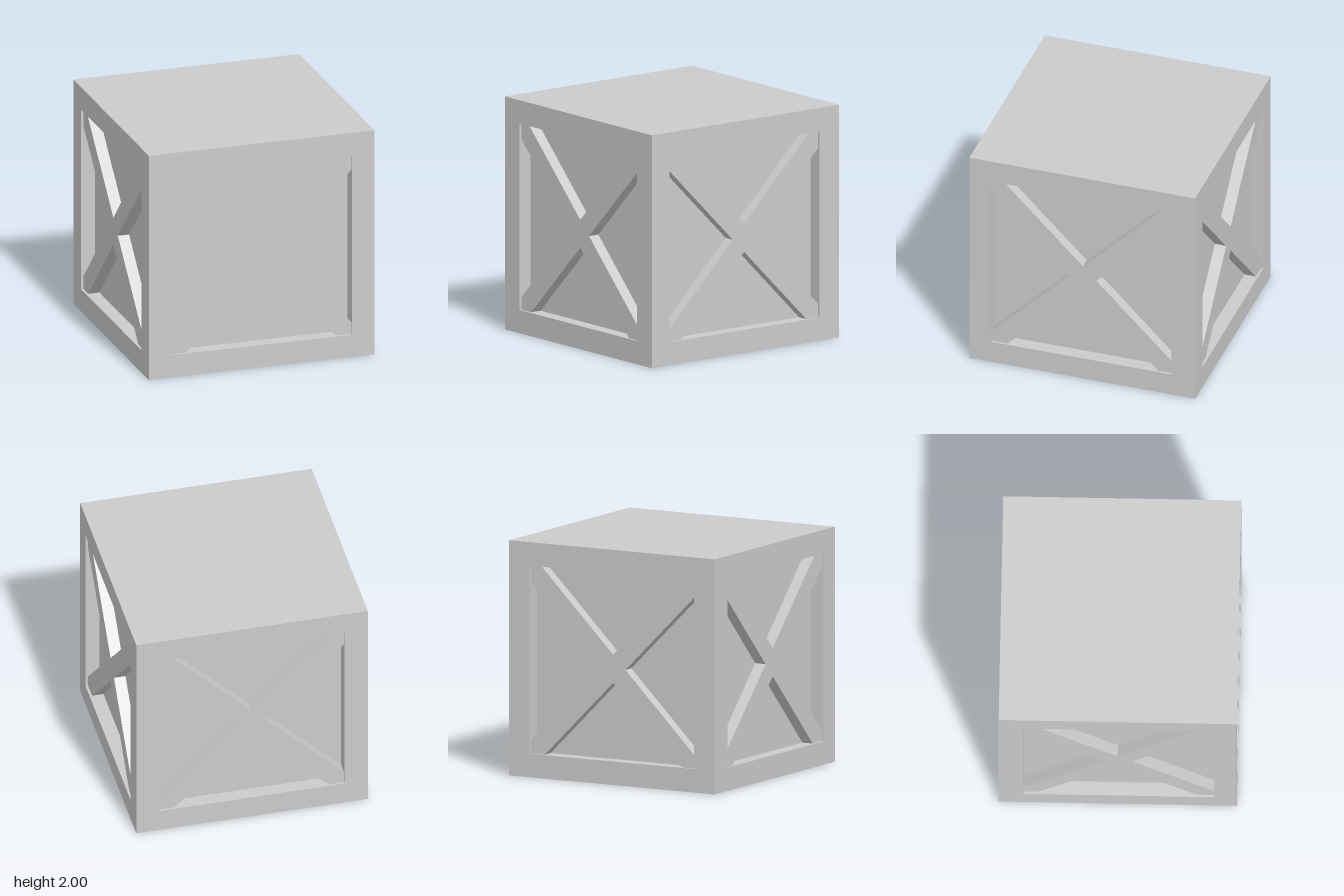
import * as THREE from 'three';

const DEPTH = 0.12;      // thickness of the outer shell
const OPEN = 0.8;        // half size of each side opening
const BAR = 0.12;        // half of a diagonal bar's width, measured along an axis
const RECESS = 0.02;     // bars sit this far behind the frame face
const BRACE_Y = -0.015;  // centre of the cross relative to the crate centre

const material = new THREE.MeshStandardMaterial({ color: 0xcccccc, flatShading: true });

function mesh(name, geometry) {
  const m = new THREE.Mesh(geometry, material);
  m.name = name;
  return m;
}

const polygon = (points) => points.map(([x, y]) => new THREE.Vector2(x, y));

// Pulls the inner rim of a 2 x 2 slab inwards so that the six sides meet in mitres.
function mitre(geometry) {
  const p = geometry.attributes.position;
  const k = 1 - DEPTH;
  for (let i = 0; i < p.count; i++) {
    if (p.getZ(i) > 1 - DEPTH / 2) continue;
    if (Math.abs(p.getX(i)) > 0.99) p.setX(i, p.getX(i) * k);
    if (Math.abs(p.getY(i)) > 0.99) p.setY(i, p.getY(i) * k);
  }
  geometry.computeVertexNormals();
  return geometry;
}

// Square frame with an opening, facing +z
function frameGeometry(shift) {
  const l = shift - OPEN, r = shift + OPEN;
  const shape = new THREE.Shape(polygon([[-1, -1], [1, -1], [1, 1], [-1, 1]]));
  shape.holes.push(new THREE.Path(polygon([[l, -OPEN], [l, OPEN], [r, OPEN], [r, -OPEN]])));
  const g = new THREE.ExtrudeGeometry(shape, { depth: DEPTH, bevelEnabled: false });
  return mitre(g.translate(0, 0, 1 - DEPTH));
}

// Diagonal cross, trimmed to the opening
function braceGeometry(shift) {
  const l = OPEN - shift, r = OPEN + shift;
  const t = OPEN - BRACE_Y, b = OPEN + BRACE_Y, w = BAR;
  const shape = new THREE.Shape(polygon([
    [w, 0], [r, r - w], [r, t], [t - w, t],
    [0, w], [w - t, t], [-l, t], [-l, l - w],
    [-w, 0], [-l, w - l], [-l, -b], [w - b, -b],
    [0, -w], [b - w, -b], [r, -b], [r, w - r],
  ]));
  const g = new THREE.ExtrudeGeometry(shape, { depth: DEPTH - RECESS, bevelEnabled: false });
  return g.translate(0, BRACE_Y, 1 - DEPTH);
}

export function createModel() {
  const crate = new THREE.Group();
  crate.name = 'crate';

  // Inner box, whose sides are the recessed panels
  const inner = 2 * (1 - DEPTH);
  const core = mesh('innerPanels', new THREE.BoxGeometry(inner, inner, inner));
  core.position.y = 1;
  crate.add(core);

  // Four framed sides; the openings left and right sit slightly forward
  ['front', 'left', 'back', 'right'].forEach((name, i) => {
    const shift = [0, -0.01, 0, 0.01][i];
    const side = new THREE.Group();
    side.name = name + 'Side';
    side.add(mesh(name + 'Frame', frameGeometry(shift)));
    side.add(mesh(name + 'CrossBrace', braceGeometry(shift)));
    side.rotation.y = i * Math.PI / 2;
    side.position.y = 1;
    crate.add(side);
  });

  // Plain lid and floor
  for (const [name, turn] of [['lid', -1], ['floor', 1]]) {
    const slab = new THREE.BoxGeometry(2, 2, DEPTH).translate(0, 0, 1 - DEPTH / 2);
    const m = mesh(name, mitre(slab));
    m.rotation.x = turn * Math.PI / 2;
    m.position.y = 1;
    crate.add(m);
  }

  return crate;
}
